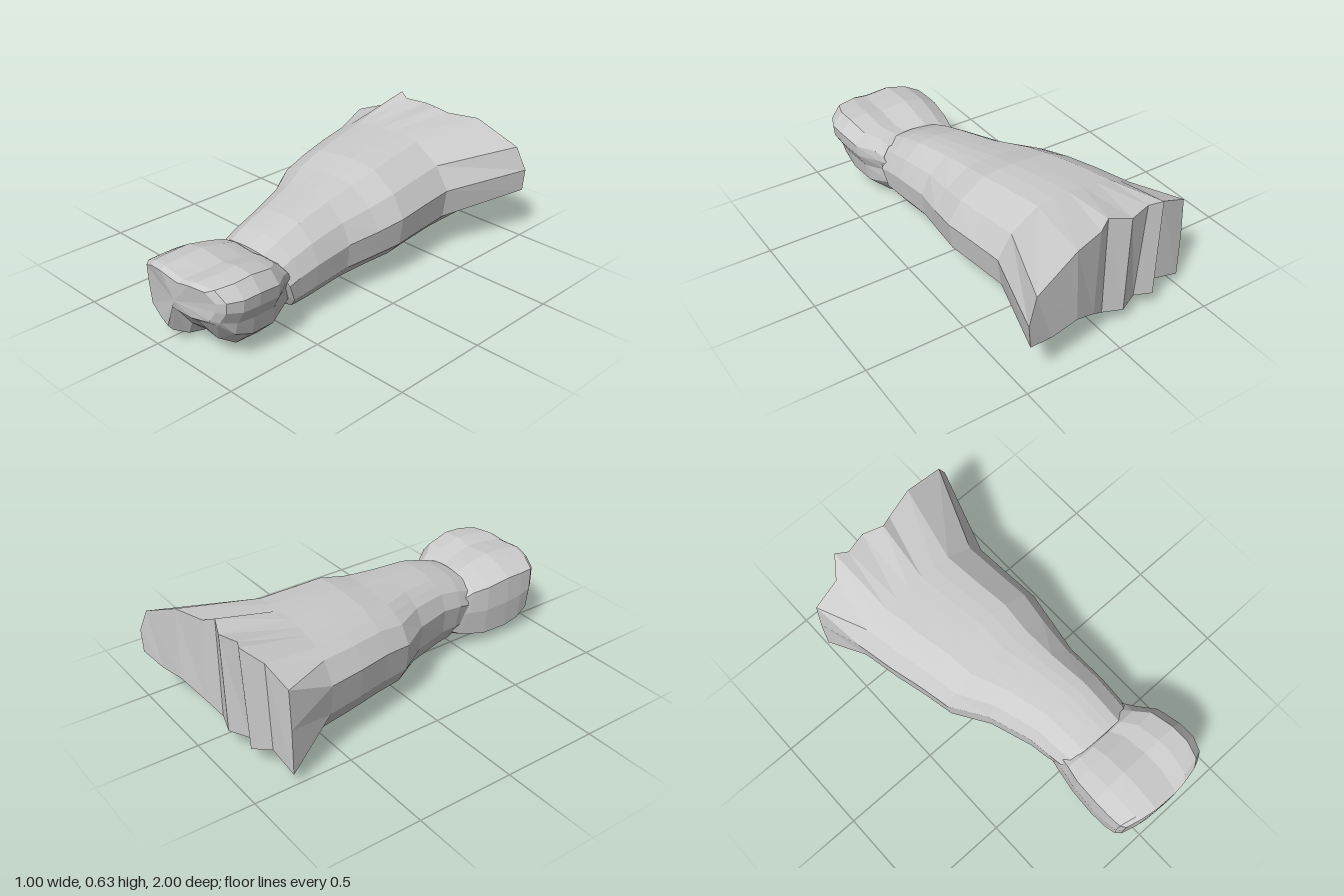
import * as THREE from 'three';

const material = new THREE.MeshStandardMaterial({ color: 0xcccccc, flatShading: true, side: THREE.DoubleSide });

// Unit cross-sections, clockwise from the right-hand side (-x) over the top
const armProfile = [
  [-1, 0.26], [-0.84, 0.66], [-0.68, 0.8], [-0.52, 0.92], [-0.35, 0.95], [-0.15, 0.98], [0.05, 1],
  [0.25, 0.99], [0.47, 0.95], [0.82, 0.58], [1, 0.1], [0.95, -0.5], [0.75, -0.84], [0.5, -0.96],
  [0.25, -1], [0.05, -1], [-0.2, -1], [-0.42, -0.98], [-0.62, -0.93], [-0.78, -0.85], [-0.95, -0.4],
];
const fistProfile = [
  [-1, 0], [-0.98, 0.65], [-0.7, 0.87], [-0.35, 0.97], [0.15, 0.9], [0.45, 0.98], [0.8, 0.95], [1, 0.65],
  [0.98, 0.35], [0.84, 0], [0.78, -0.45], [0.38, -0.95], [0.05, -0.84], [-0.24, -0.96], [-0.34, -1],
  [-0.58, -0.88], [-0.95, -0.7],
];

// Fits a unit cross-section into bounds; bow curves the sides back, lean tilts it,
// lift raises the lower edge under the fingers
function ring(profile, [z, x0, x1, y0, y1, bow = 0, lean = 0, lift = 0]) {
  return profile.map(([u, v]) => {
    const w = u > -0.3 && v < 0 ? v * (1 - lift) : v;
    return [
      (x0 + x1) / 2 + (u * (x1 - x0)) / 2,
      (y0 + y1) / 2 + (w * (y1 - y0)) / 2,
      z - bow * u * u + lean * v,
    ];
  });
}

// Skins rings running from back to front, with optional strip cap at the back and a fan in front
function loft(name, rings, backCap) {
  const n = rings[0].length;
  const points = rings.flat();
  const index = [];
  for (let r = 0; r < rings.length - 1; r++) {
    for (let i = 0; i < n; i++) {
      const a = r * n + i, b = r * n + ((i + 1) % n);
      index.push(a, a + n, b, b, a + n, b + n);
    }
  }
  if (backCap) {
    // vertical pleats joining the top edge to the bottom edge
    index.push(0, 1, n - 1);
    for (let i = 1; i < (n - 1) / 2; i++) {
      const j = n - i;
      index.push(i, i + 1, j, i + 1, j - 1, j);
    }
  }
  const last = rings[rings.length - 1];
  const start = (rings.length - 1) * n;
  const centre = [0, 1, 2].map((k) => last.reduce((s, p) => s + p[k], 0) / n);
  centre[2] = Math.max(...last.map((p) => p[2])) - 0.005;
  points.push(centre);
  for (let i = 0; i < n; i++) index.push(points.length - 1, start + ((i + 1) % n), start + i);

  const indexed = new THREE.BufferGeometry();
  indexed.setAttribute('position', new THREE.Float32BufferAttribute(points.flat(), 3));
  indexed.setIndex(index);
  const geometry = indexed.toNonIndexed();
  geometry.computeVertexNormals();
  const mesh = new THREE.Mesh(geometry, material);
  mesh.name = name;
  return mesh;
}

export function createModel() {
  const group = new THREE.Group();
  group.name = 'forearmAndFist';

  // Ragged, flared end: top edge from -x to +x, then the bottom edge back again
  const flare = [
    [-0.5, 0.3, -0.8], [-0.49, 0.5, -0.8], [-0.34, 0.56, -0.82], [-0.27, 0.635, -0.9], [-0.21, 0.62, -0.87],
    [-0.1, 0.615, -0.9], [0, 0.63, -0.86], [0.06, 0.605, -0.89], [0.22, 0.605, -0.94], [0.45, 0.5, -0.98],
    [0.5, 0.38, -1],
    [0.49, 0.265, -1], [0.36, 0.23, -0.97], [0.21, 0.24, -0.95], [0.08, 0.17, -0.9], [0, 0.11, -0.86],
    [-0.1, 0.1, -0.89], [-0.2, 0.1, -0.84], [-0.28, 0.105, -0.88], [-0.35, 0.11, -0.81], [-0.5, 0.065, -0.8],
  ];

  // Forearm: z, x range, y range, bow, lean
  const armRings = [
    [-0.55, -0.445, 0.35, 0.09, 0.575],
    [-0.36, -0.405, 0.365, 0.087, 0.56],
    [-0.19, -0.36, 0.38, 0.083, 0.545],
    [-0.04, -0.325, 0.36, 0.08, 0.51],
    [0.13, -0.21, 0.335, 0.075, 0.485],
    [0.34, -0.135, 0.345, 0.07, 0.455],
    [0.45, -0.115, 0.345, 0.07, 0.415, 0, 0.03],
    [0.51, -0.1, 0.345, 0.075, 0.378, 0, 0.06],
  ].map((r) => ring(armProfile, r));
  group.add(loft('forearm', [flare, ...armRings], true));

  // Closed fist: z, x range, y range, bow, lean, lift
  const fistRings = [
    [0.47, -0.09, 0.33, 0.1, 0.35, 0, 0.07],
    [0.53, -0.1, 0.355, 0.05, 0.382, 0, 0.05],
    [0.64, -0.12, 0.42, 0.005, 0.405, 0, 0.01],
    [0.77, -0.13, 0.44, 0.005, 0.43, 0, 0, 0.06],
    [0.87, -0.13, 0.44, 0.03, 0.425, 0.01, 0, 0.3],
    [0.965, -0.125, 0.41, 0.08, 0.415, 0.04, 0.01, 0.75],
    [0.99, -0.105, 0.37, 0.11, 0.4, 0.04, 0.01, 0.8],
  ].map((r) => ring(fistProfile, r));
  group.add(loft('fist', fistRings, false));

  return group;
}
